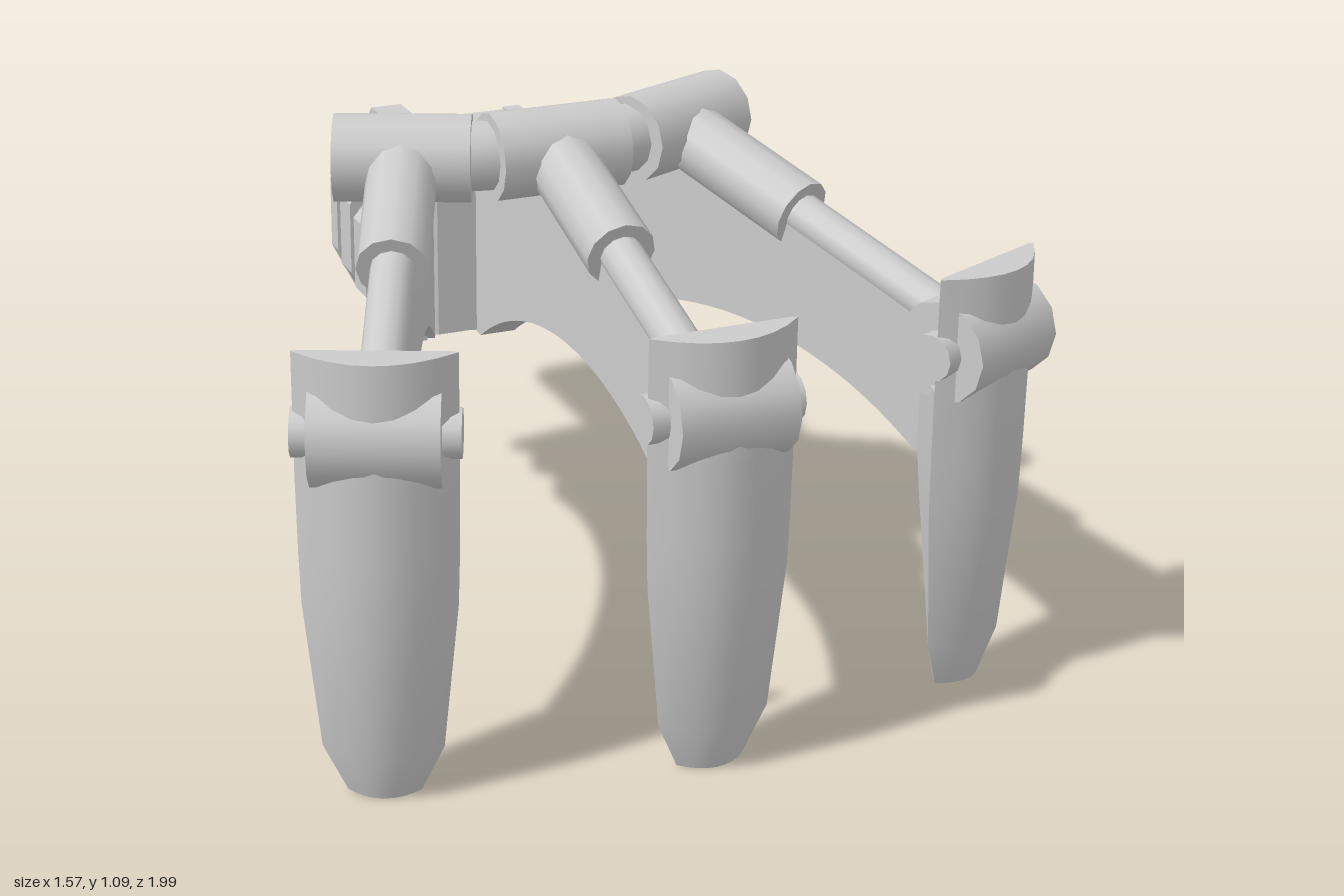
import * as THREE from 'three';
import { toCreasedNormals } from 'three/addons/utils/BufferGeometryUtils.js';

const grey = new THREE.MeshStandardMaterial({ color: 0xcccccc });
const PIVOT = -0.68;    // z of the point the three fingers fan out from
const SPREAD = 0.406;   // angle between fingers

function add(parent, name, geometry, x = 0, y = 0, z = 0) {
  const mesh = new THREE.Mesh(geometry, grey);
  mesh.name = name;
  mesh.position.set(x, y, z);
  parent.add(mesh);
  return mesh;
}

// Cylinder lying along x
function crossBar(radius, length, sides = 12) {
  return new THREE.CylinderGeometry(radius, radius, length, sides).rotateZ(Math.PI / 2);
}

// Cylinder between two points in the finger's middle plane, given as [z, y]
function rod(parent, name, radius, a, b) {
  const from = new THREE.Vector3(0, a[1], a[0]);
  const to = new THREE.Vector3(0, b[1], b[0]);
  const dir = to.clone().sub(from);
  const mesh = add(parent, name, new THREE.CylinderGeometry(radius, radius, dir.length(), 12));
  mesh.position.copy(from).add(to).multiplyScalar(0.5);
  mesh.quaternion.setFromUnitVectors(new THREE.Vector3(0, 1, 0), dir.normalize());
}

function shapeOf(points) {
  return new THREE.Shape(points.map(([x, y]) => new THREE.Vector2(x, y)));
}

function extrude(shape, depth) {
  return new THREE.ExtrudeGeometry(shape, { depth, bevelEnabled: false, curveSegments: 20 });
}

// Profile drawn in (z, y), extruded to a width centred on x = 0
function sidePlate(shape, width) {
  return extrude(shape, width).translate(0, 0, -width / 2).rotateY(-Math.PI / 2);
}

// Claw: rounded front, sloping sides and a narrow back, stacked by height
function clawGeometry() {
  // y, half width, side z, front z, back half width, back z
  const levels = [
    [0, 0.07, 0.89, 0.925, 0.035, 0.855],
    [0.1, 0.115, 0.9, 0.955, 0.04, 0.84],
    [0.4, 0.145, 0.905, 0.98, 0.04, 0.8],
    [0.5, 0.148, 0.905, 0.982, 0.04, 0.79],
    [0.66, 0.15, 0.905, 0.982, 0.04, 0.79],
    [0.67, 0.15, 0.905, 0.982, 0.14, 0.9],
    [0.9, 0.15, 0.905, 0.975, 0.14, 0.9],
  ];
  const arc = 8, n = arc + 3, pos = [], index = [];
  for (const [y, w, side, front, bw, back] of levels) {
    for (let i = 0; i <= arc; i++) {
      const t = 1 - (2 * i) / arc;
      pos.push(w * t, y, side + (front - side) * (1 - t * t));
    }
    pos.push(-bw, y, back, bw, y, back);
  }
  for (let l = 0; l < levels.length - 1; l++) {
    for (let j = 0; j < n; j++) {
      const a = l * n + j, b = l * n + ((j + 1) % n);
      index.push(a, a + n, b, b, a + n, b + n);
    }
  }
  const top = (levels.length - 1) * n;
  for (let j = 1; j < n - 1; j++) index.push(0, j, j + 1, top, top + j + 1, top + j);
  const g = new THREE.BufferGeometry();
  g.setAttribute('position', new THREE.Float32BufferAttribute(pos, 3));
  g.setIndex(index);
  return toCreasedNormals(g, 0.5);
}

// Arched arm plate with a circular underside
function armGeometry() {
  const s = new THREE.Shape();
  s.moveTo(-0.28, 0.48);
  s.lineTo(-0.28, 0.86);
  s.lineTo(-0.26, 0.87);
  s.lineTo(-0.13, 1);
  s.lineTo(0.09, 1);
  s.lineTo(0.86, 0.73);
  s.lineTo(0.86, 0.48);
  s.lineTo(0.78, 0.48);
  s.absarc(0.275, -0.237, 0.877, Math.PI / 2 - 0.614, Math.PI / 2 + 0.614, false);
  return toCreasedNormals(sidePlate(s, 0.08), 0.4);
}

function createFinger(name, angle) {
  const pivot = new THREE.Group();
  pivot.name = name;
  pivot.position.z = PIVOT;
  pivot.rotation.y = angle;
  const f = new THREE.Group();
  f.position.z = -PIVOT;
  pivot.add(f);

  add(f, 'arm', armGeometry());
  add(f, 'shoulderCylinder', crossBar(0.092, 0.28), 0, 1, 0.09);
  // Piston from shoulder to knuckle
  const along = (z) => [z, 1 - 0.325 * (z - 0.09)];
  rod(f, 'pistonSleeve', 0.072, along(0.09), along(0.44));
  rod(f, 'pistonRod', 0.044, along(0.4), along(0.89));
  add(f, 'knuckle', crossBar(0.103, 0.24), 0, 0.74, 0.89);
  add(f, 'knucklePin', crossBar(0.047, 0.31), 0, 0.74, 0.895);
  add(f, 'claw', clawGeometry());
  return pivot;
}

function createHub() {
  const hub = new THREE.Group();
  hub.name = 'hub';
  const cz = -0.405, cy = 0.68;

  // Block with a vertical bore, drawn in plan
  const plan = shapeOf([[-0.18, -0.6], [0.18, -0.6], [0.18, -0.29], [0.13, -0.255], [-0.13, -0.255], [-0.18, -0.29]]);
  plan.holes.push(new THREE.Path().absarc(0, cz, 0.14, 0, Math.PI * 2, true));
  add(hub, 'hubBlock', extrude(plan, 0.39).rotateX(Math.PI / 2), 0, 0.875, 0);

  // Collar lining the bore
  const profile = [[0.12, -0.2], [0.155, -0.2], [0.155, 0.2], [0.12, 0.2], [0.12, -0.2]];
  const collar = new THREE.LatheGeometry(profile.map(([r, y]) => new THREE.Vector2(r, y)), 10);
  add(hub, 'boreCollar', toCreasedNormals(collar, 0.7), 0, cy, cz);

  // Chamfered fins on both sides: back z, thickness, reach
  for (const [z, depth, reach] of [[-0.605, 0.045, 0.26], [-0.475, 0.07, 0.28], [-0.32, 0.075, 0.3]]) {
    for (const side of [-1, 1]) {
      const fin = shapeOf([[0.16, -0.2], [0.2, -0.2], [reach, -0.08], [reach, 0.08], [0.2, 0.2], [0.16, 0.2]]
        .map(([x, y]) => [side * x, y]));
      add(hub, side > 0 ? 'leftFin' : 'rightFin', extrude(fin, depth), 0, cy, z);
    }
  }

  // Cross-shaped shaft with chamfered tips
  const blade = (half) => shapeOf([[-0.59, -half], [-0.59, half], [-0.965, half], [-1, half - 0.035],
    [-1, 0.035 - half], [-0.965, -half]]);
  add(hub, 'shaftUpright', sidePlate(blade(0.115), 0.075), 0, 0.685, 0);
  add(hub, 'shaftFlat', sidePlate(blade(0.115), 0.075).rotateZ(Math.PI / 2), 0, 0.685, 0);
  return hub;
}

export function createModel() {
  const model = new THREE.Group();
  model.name = 'threeFingeredClaw';
  model.add(createHub());
  model.add(createFinger('leftFinger', SPREAD));
  model.add(createFinger('middleFinger', 0));
  model.add(createFinger('rightFinger', -SPREAD));

  // Curved bar linking the three shoulder cylinders
  const link = new THREE.TorusGeometry(0.77, 0.073, 12, 16, SPREAD * 2)
    .rotateZ(Math.PI / 2 - SPREAD).rotateX(Math.PI / 2);
  add(model, 'shoulderLink', link, 0, 1, PIVOT);
  return model;
}
